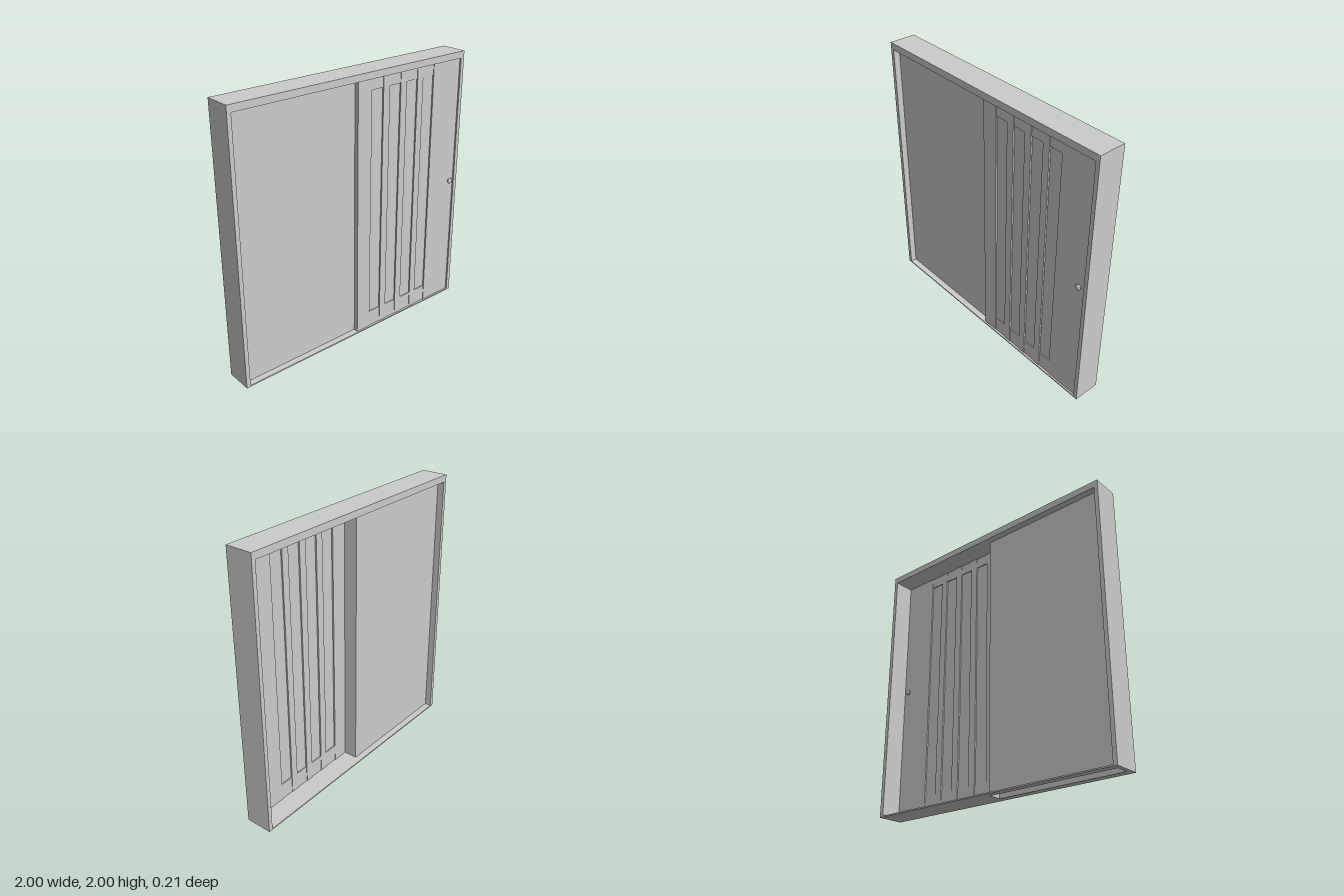
import * as THREE from 'three';

const mat = new THREE.MeshStandardMaterial({ color: 0xcccccc });

// Box given by its min and max on each axis
function box(parent, name, [x0, x1], [y0, y1], [z0, z1]) {
  const m = new THREE.Mesh(new THREE.BoxGeometry(x1 - x0, y1 - y0, z1 - z0), mat);
  m.position.set((x0 + x1) / 2, (y0 + y1) / 2, (z0 + z1) / 2);
  m.name = name;
  parent.add(m);
}

function group(parent, name) {
  const g = new THREE.Group();
  g.name = name;
  parent.add(g);
  return g;
}

export function createModel() {
  const model = new THREE.Group();
  model.name = 'slidingPocketDoor';

  const back = -0.106, front = 0.094;
  const doorBack = 0.047, doorFront = 0.082, pocketBack = -0.056;
  const inX = 0.97, y0 = 0.01, y1 = 1.95;

  // Outer frame; the sill is open below the pocket
  const frame = group(model, 'frame');
  box(frame, 'leftJamb', [inX, 1], [0, 2], [back, front]);
  box(frame, 'rightJamb', [-1, -inX], [0, 2], [back, front]);
  box(frame, 'header', [-inX, inX], [y1, 2], [back, front]);
  box(frame, 'sillHalf', [0, inX], [0, y0], [back, front]);
  box(frame, 'sillBackStrip', [-inX, 0], [0, y0], [back, pocketBack]);
  box(frame, 'sillFrontStrip', [-inX, 0], [0, y0], [doorBack - 0.008, front]);

  // Hollow wall pocket behind which the door slides
  const pocket = group(model, 'pocket');
  const wall = 0.008;
  box(pocket, 'pocketFrontWall', [-inX, 0], [y0, y1], [doorBack - wall, doorBack]);
  box(pocket, 'pocketBackWall', [-inX, 0], [y0, y1], [pocketBack, pocketBack + wall]);
  box(pocket, 'pocketEndWall', [-wall, 0], [0, y1], [pocketBack + wall, doorBack - wall]);

  // Door: full-height uprights with recessed panes between them
  const door = group(model, 'door');
  const uprights = [[0, 0.12], [0.225, 0.283], [0.385, 0.442], [0.545, 0.6], [0.705, inX]];
  uprights.forEach((u, i) => {
    box(door, 'upright', u, [y0, y1], [doorBack, doorFront]);
    if (i === uprights.length - 1) return;
    const gap = [u[1], uprights[i + 1][0]];
    box(door, 'pane', gap, [0.135, 1.87], [doorBack + 0.011, doorFront - 0.011]);
    box(door, 'bottomRail', gap, [y0, 0.135], [doorBack + 0.004, doorFront - 0.004]);
    box(door, 'topRail', gap, [1.87, y1], [doorBack + 0.004, doorFront - 0.004]);
  });

  // Round knobs on both faces
  const profile = [[0.012, 0], [0.012, 0.008], [0.019, 0.011], [0.022, 0.016], [0.019, 0.021], [0.011, 0.024], [0, 0.024]]
    .map(([r, h]) => new THREE.Vector2(r, h));
  for (const s of [1, -1]) {
    const knob = new THREE.Mesh(new THREE.LatheGeometry(profile, 24), mat);
    knob.name = s > 0 ? 'frontKnob' : 'backKnob';
    knob.rotation.x = s * Math.PI / 2;
    knob.position.set(0.925, 1, s > 0 ? doorFront : doorBack);
    model.add(knob);
  }
  return model;
}
